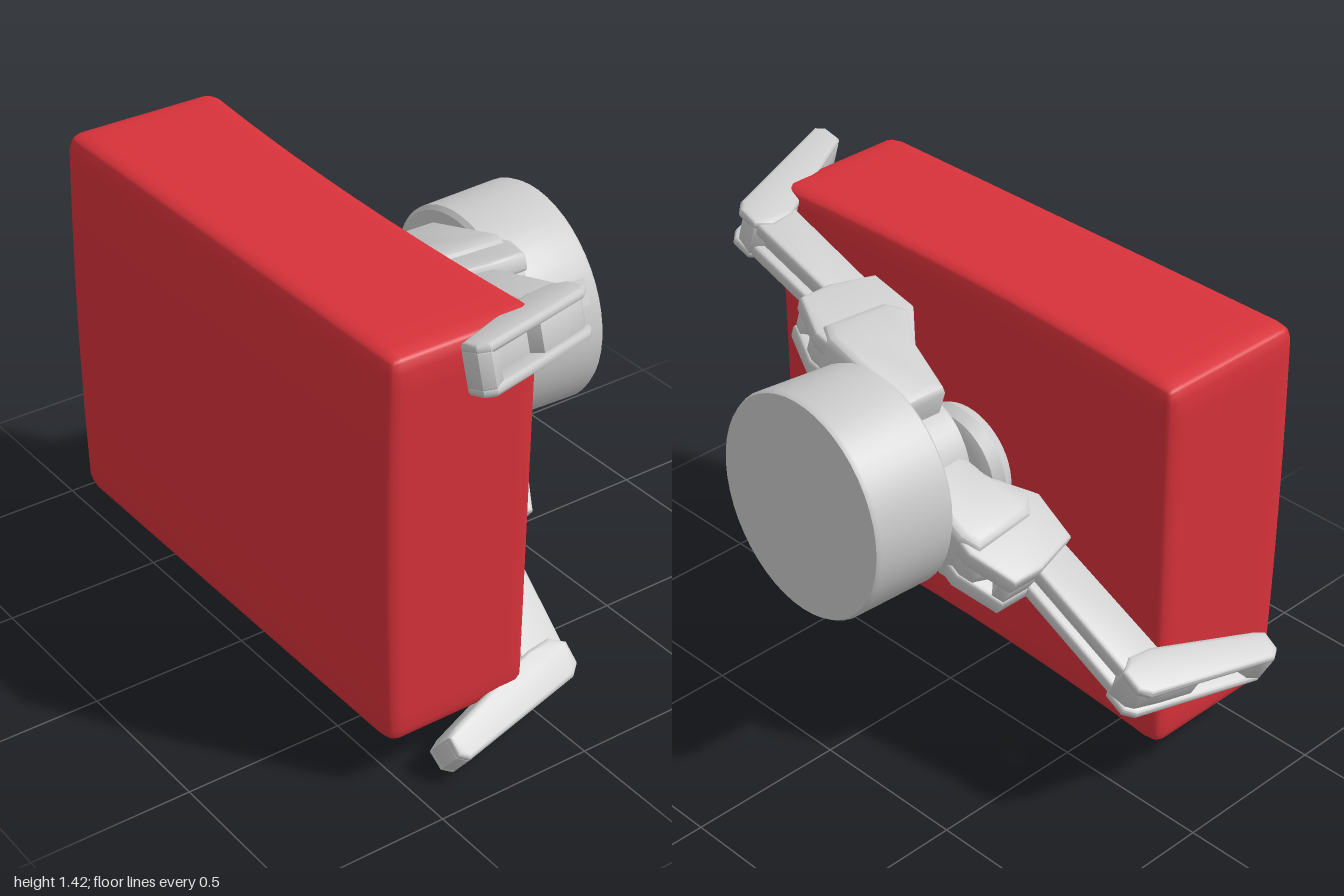
import * as THREE from 'three';
import { mergeVertices, toCreasedNormals } from 'three/addons/utils/BufferGeometryUtils.js';

const grey = new THREE.MeshStandardMaterial({ color: 0xcccccc });
const red = new THREE.MeshStandardMaterial({ color: 0xd8323a });

function add(parent, name, geometry, material = grey) {
  const mesh = new THREE.Mesh(geometry, material);
  mesh.name = name;
  parent.add(mesh);
  return mesh;
}

// Bevelled plate: outline in (along finger, depth), extruded across the finger
function plate(parent, name, points, width, offset = 0, bevel = 0.012) {
  const shape = new THREE.Shape(points.map(([s, x]) => new THREE.Vector2(s, x)));
  const geo = new THREE.ExtrudeGeometry(shape, {
    depth: width - 2 * bevel, bevelThickness: bevel, bevelSize: bevel,
    bevelOffset: -bevel, bevelSegments: 2,
  });
  geo.translate(0, 0, offset - width / 2 + bevel);
  return add(parent, name, toCreasedNormals(geo, 0.8));
}

// Two full side plates with a recessed plate between them
function channel(parent, name, outer, inner, width, wall) {
  for (const side of [-1, 1]) plate(parent, name + 'Side', outer, wall, side * (width - wall) / 2);
  plate(parent, name + 'Core', inner, width - 2 * wall + 0.02, 0, 0.004);
}

// One finger; s = 0 is its outermost end, the second coordinate is world x
function finger({ name, y, z, dy, dz, shift, base }) {
  const g = new THREE.Group();
  g.name = name;
  const dir = new THREE.Vector3(0, dy, dz).normalize();
  const up = new THREE.Vector3(1, 0, 0);
  g.applyMatrix4(new THREE.Matrix4()
    .makeBasis(dir, up, new THREE.Vector3().crossVectors(dir, up))
    .setPosition(shift, y, z));

  // Shoulder reaching out from under the drum
  plate(g, 'shoulder', [[-1.08, 0.1], [-0.9, 0.05], [-0.78, -0.03], [-0.72, 0.02],
    [-0.7, 0.24], [-0.76, 0.27], [-1.08, 0.27]], 0.21, 0, 0.03);

  // Knuckle with a small notch on its outer corner
  channel(g, 'knuckle',
    [[-0.57, 0.1], [-0.61, -0.05], [-0.77, -0.06], [-0.9, 0.05], [-0.9, 0.26], [-0.71, 0.27], [-0.57, 0.21]],
    [[-0.575, 0.1], [-0.61, -0.045], [-0.77, -0.05], [-0.9, 0.06], [-0.9, 0.255], [-0.71, 0.262],
      [-0.67, 0.245], [-0.65, 0.18], [-0.61, 0.22], [-0.575, 0.205]], 0.17, 0.06);

  // Middle link with a groove between two rails
  const end = base - 0.05;
  channel(g, 'link',
    [[-0.66, -0.03], [-0.64, 0.11], [end, 0.1], [end, -0.05]],
    [[-0.66, -0.02], [-0.64, 0.08], [end, 0.07], [end, -0.04]], 0.13, 0.045);

  // Fingertip bent towards the box, with a pocket in its outer face
  const at = (x) => base + (-base) * (0.08 - x) / 0.42;
  const heel = [[base - 0.1, 0.11], [base - 0.13, 0.06], [base - 0.12, -0.02]];
  const toe = [[-0.1, -0.34], [-0.08, -0.375], [-0.02, -0.37], [0, -0.34]];
  channel(g, 'fingertip',
    [...heel, ...toe, [at(0.08), 0.08], [base - 0.03, 0.11]],
    [...heel, ...toe, [at(-0.3) - 0.01, -0.3], [at(-0.28) - 0.06, -0.28], [at(-0.13) - 0.06, -0.13],
      [at(-0.11) - 0.015, -0.11], [at(0) - 0.015, 0], [at(0.08) - 0.02, 0.08], [base - 0.04, 0.1]], 0.145, 0.032);
  return g;
}

// Soft-edged box, slightly dented where it faces the hand
function boxGeometry(w, h, d, r) {
  const geo = new THREE.BoxGeometry(2, 2, 2, 16, 16, 16);
  geo.deleteAttribute('uv');
  geo.deleteAttribute('normal');
  const p = geo.attributes.position;
  const half = new THREE.Vector3(w / 2, h / 2, d / 2);
  const v = new THREE.Vector3(), core = new THREE.Vector3();
  const limit = half.clone().subScalar(r);
  for (let i = 0; i < p.count; i++) {
    v.fromBufferAttribute(p, i);
    // Crowd the grid lines towards the edges, then round them
    v.set(Math.sin(v.x * Math.PI / 2), Math.sin(v.y * Math.PI / 2), Math.sin(v.z * Math.PI / 2)).multiply(half);
    core.copy(v).clamp(limit.clone().negate(), limit);
    v.sub(core).normalize().multiplyScalar(r).add(core);
    const near = (v.x + w / 2) / w;
    v.x -= near * (0.045 * (1 - ((v.z - 0.2) / 0.95) ** 2) + 0.02 * (0.5 - v.y / h));
    v.x -= (1 - near) * 0.012 * (1 - (2 * v.y / h) ** 2);
    p.setXYZ(i, v.x, v.y, v.z);
  }
  const merged = mergeVertices(geo, 1e-4);
  merged.computeVertexNormals();
  return merged;
}

export function createModel() {
  const model = new THREE.Group();
  model.name = 'gripperHoldingBox';

  add(model, 'box', boxGeometry(0.52, 1.23, 1.63, 0.05), red).position.set(-0.295, 0.775, 0.015);

  // Drum and palm share one slightly tilted axis
  const hand = new THREE.Group();
  hand.name = 'hand';
  hand.position.set(0.41, 0.885, 0.032);
  hand.quaternion.setFromUnitVectors(new THREE.Vector3(0, 1, 0), new THREE.Vector3(1, 0.035, 0.05).normalize());
  model.add(hand);
  const turned = (points) => toCreasedNormals(
    new THREE.LatheGeometry(points.map(([r, h]) => new THREE.Vector2(r, h)), 48), 0.6);
  add(hand, 'drum', turned([[0, -0.143], [0.325, -0.143], [0.338, -0.13], [0.345, 0.13], [0.338, 0.143], [0, 0.143]]));
  add(hand, 'palmHub', turned([[0, -0.36], [0.16, -0.36], [0.19, -0.33], [0.2, -0.13], [0, -0.13]]));

  // Small port on the drum's side
  const port = add(model, 'drumPort', new THREE.BoxGeometry(0.05, 0.08, 0.02));
  port.position.set(0.47, 1.03, 0.339);
  port.rotation.x = -0.44;

  // Soft round pad facing the box
  const pad = add(model, 'palmPad', turned([[0, -0.05], [0.15, -0.05], [0.18, -0.035], [0.195, 0],
    [0.18, 0.035], [0.15, 0.05], [0, 0.05]]));
  pad.position.set(0.035, 0.85, -0.07);
  pad.rotation.z = -Math.PI / 2;

  // Three fingers spread around the palm
  for (const f of [
    { name: 'upperFinger', y: 1.365, z: 0.975, dy: 0.29, dz: 0.96, shift: 0, base: -0.15 },
    { name: 'lowerFinger', y: 0.058, z: 0.9, dy: -0.63, dz: 0.775, shift: -0.02, base: -0.09 },
    { name: 'rearFinger', y: 0.405, z: -0.966, dy: -0.465, dz: -0.885, shift: 0.02, base: -0.1 },
  ]) model.add(finger(f));

  return model;
}
